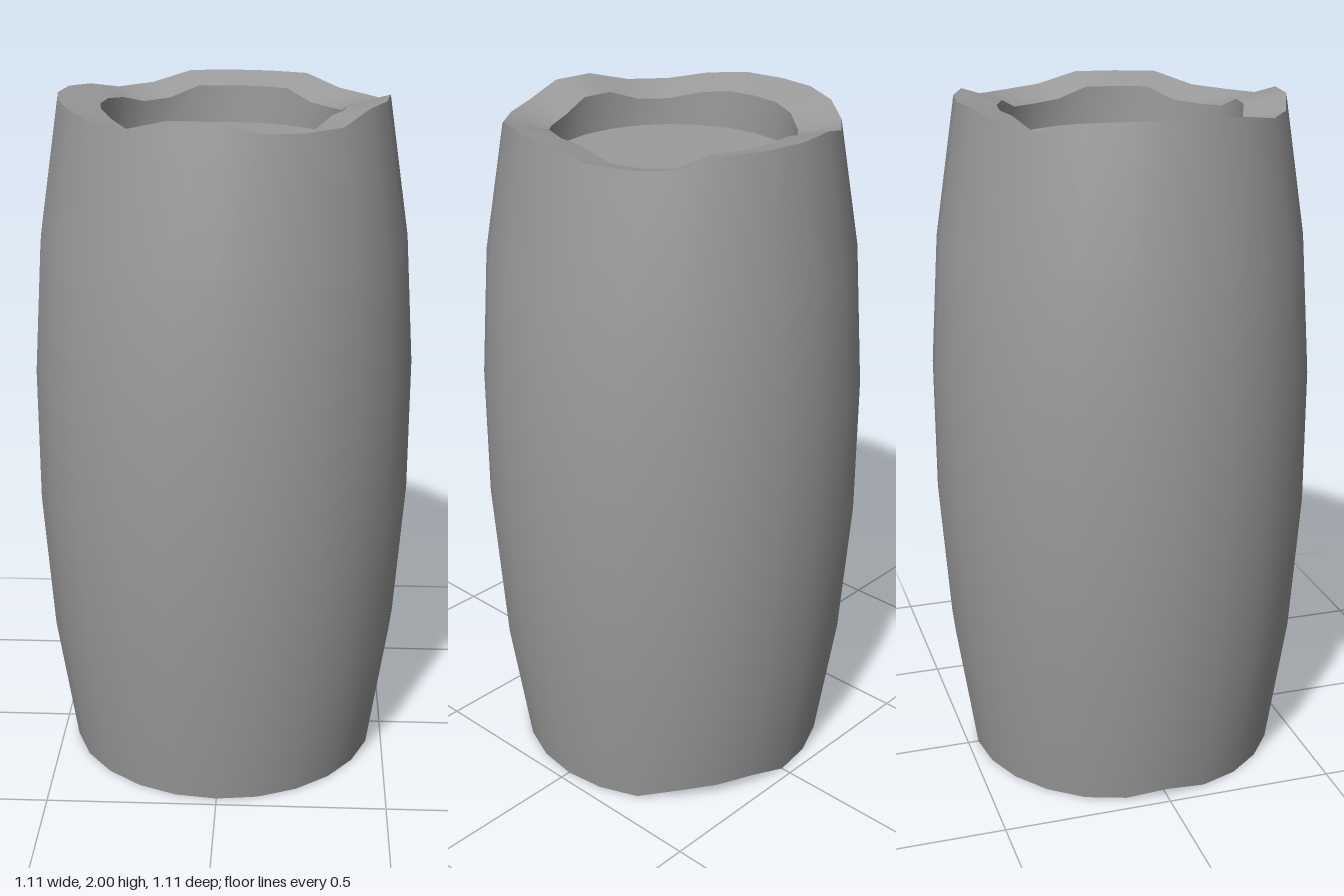
import * as THREE from 'three';

const SIDES = 24;

// Height offsets around the worn rims, one per side, in 15 degree steps from +x towards +z
const TOP_WEAR = [0, 0, 0, 0.035, 0.038, 0.033, 0, 0, 0.03, 0.032, 0.012, 0,
  0, 0, 0.01, 0.033, 0.03, 0, 0, 0, 0, 0.032, 0.035, 0.03];
const BASE_WEAR = [0, 0, 0, 0, 0, 0, 0, 0, 0, 0, 0, 0.005,
  0.022, 0.005, 0, 0, 0, 0, 0, 0.035, 0.037, 0.03, 0, 0];

// Ring of points: radius plus a height that may vary by side
const ring = (r, y) => ({ r, y: typeof y === 'function' ? y : () => y });
const topEdge = (drop) => (j) => 2 - drop - TOP_WEAR[j];
const baseEdge = (lift) => (j) => lift + BASE_WEAR[j];

// Smooth closed band through a list of rings; separate bands give sharp edges
function band(name, rings, material) {
  const positions = [];
  const index = [];
  rings.forEach(({ r, y }, i) => {
    for (let j = 0; j < SIDES; j++) {
      const t = (j / SIDES) * Math.PI * 2;
      positions.push(r * Math.cos(t), y(j), r * Math.sin(t));
      if (i === rings.length - 1) continue;
      const a = i * SIDES + j;
      const b = i * SIDES + (j + 1) % SIDES;
      index.push(a, a + SIDES, b, b, a + SIDES, b + SIDES);
    }
  });
  const geometry = new THREE.BufferGeometry();
  geometry.setAttribute('position', new THREE.Float32BufferAttribute(positions, 3));
  geometry.setIndex(index);
  geometry.computeVertexNormals();
  const mesh = new THREE.Mesh(geometry, material);
  mesh.name = name;
  return mesh;
}

function lid(name, y, tilt, material) {
  const geometry = new THREE.CircleGeometry(0.348, SIDES);
  geometry.rotateX(tilt);
  const mesh = new THREE.Mesh(geometry, material);
  mesh.name = name;
  mesh.position.y = y;
  return mesh;
}

export function createModel() {
  const group = new THREE.Group();
  group.name = 'barrel';
  const material = new THREE.MeshStandardMaterial({ color: 0x9b9b9b });

  // Bulging outer wall
  group.add(band('outerWall', [
    ring(0.468, baseEdge(0)), ring(0.527, 0.4), ring(0.556, 0.82),
    ring(0.556, 1.22), ring(0.53, 1.6), ring(0.468, topEdge(0)),
  ], material));

  // Top rim, recess and lid
  group.add(band('topRim', [ring(0.468, topEdge(0)), ring(0.348, topEdge(0.03))], material));
  group.add(band('topRecess', [ring(0.348, topEdge(0.03)), ring(0.348, 1.86)], material));
  group.add(lid('topLid', 1.86, -Math.PI / 2, material));

  // Bottom rim, recess and lid
  group.add(band('bottomRim', [ring(0.348, baseEdge(0.03)), ring(0.468, baseEdge(0))], material));
  group.add(band('bottomRecess', [ring(0.348, 0.14), ring(0.348, baseEdge(0.03))], material));
  group.add(lid('bottomLid', 0.14, Math.PI / 2, material));

  return group;
}
